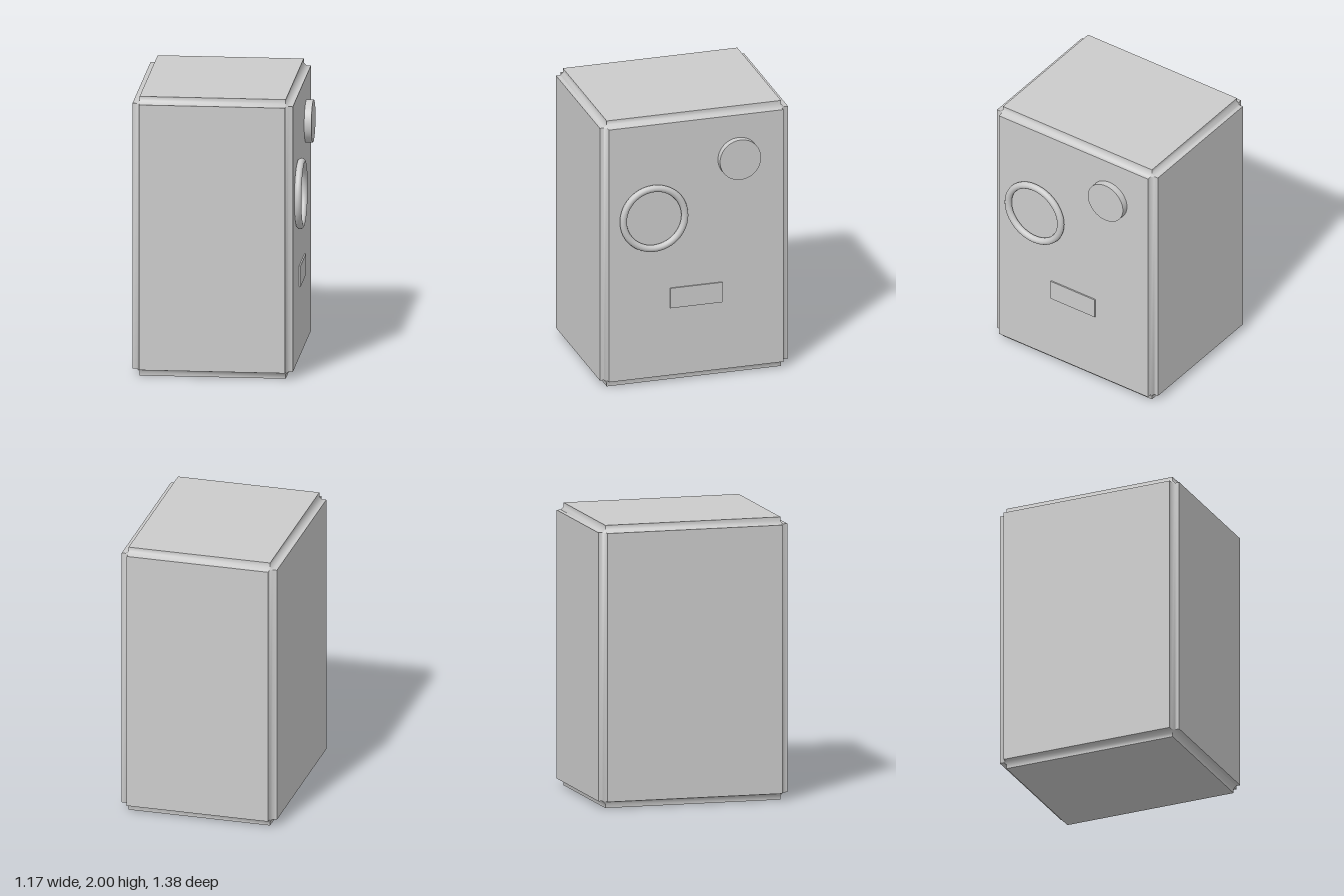
import * as THREE from 'three';
import { toCreasedNormals } from 'three/addons/utils/BufferGeometryUtils.js';

// Cabinet box whose twelve edges are cut by a coved notch.
function notchedBox(half, notch, cove) {
  const positions = [];
  const inner = half.map((h) => h - notch);

  // Adds a convex face, ordering its corners so that it faces along `out`.
  function face(points, out) {
    const [a, b, c] = points.map((p) => new THREE.Vector3(...p));
    const normal = b.clone().sub(a).cross(c.clone().sub(a));
    const ring = normal.dot(new THREE.Vector3(...out)) < 0 ? [...points].reverse() : points;
    for (let i = 1; i < ring.length - 1; i++) positions.push(...ring[0], ...ring[i], ...ring[i + 1]);
  }
  // Point or direction from values given on axes a, b and c.
  function on(a, va, b, vb, c, vc) {
    const p = [0, 0, 0];
    p[a] = va; p[b] = vb; p[c] = vc;
    return p;
  }

  for (let c = 0; c < 3; c++) {
    const a = (c + 1) % 3, b = (c + 2) % 3;
    // Flat panels across axis c
    for (const s of [-1, 1]) {
      face([[-1, -1], [1, -1], [1, 1], [-1, 1]].map(([u, v]) =>
        on(a, u * inner[a], b, v * inner[b], c, s * half[c])), on(a, 0, b, 0, c, s));
    }
    // Edge strips running along axis c: wall, cove, wall
    const profile = [
      [inner[a], half[b]], [inner[a], inner[b] + cove],
      [inner[a] + cove, inner[b]], [half[a], inner[b]],
    ];
    for (const sa of [-1, 1]) for (const sb of [-1, 1]) for (let i = 0; i < 3; i++) {
      const [p, q] = [profile[i], profile[i + 1]];
      face([[p, -1], [q, -1], [q, 1], [p, 1]].map(([[u, v], e]) =>
        on(a, sa * u, b, sb * v, c, e * inner[c])), on(a, sa, b, sb, c, 0));
    }
  }
  // Small triangle closing each corner
  for (const sx of [-1, 1]) for (const sy of [-1, 1]) for (const sz of [-1, 1]) {
    const s = [sx, sy, sz];
    face([0, 1, 2].map((k) => inner.map((v, i) => s[i] * (v + (i === k ? cove : 0)))), s);
  }

  const geometry = new THREE.BufferGeometry();
  geometry.setAttribute('position', new THREE.Float32BufferAttribute(positions, 3));
  return toCreasedNormals(geometry, Math.PI / 3);
}

export function createModel() {
  const group = new THREE.Group();
  const grey = new THREE.MeshStandardMaterial({ color: 0xcccccc });
  const sideX = 0.535; // outer face of the side that carries the fittings

  function add(name, geometry, x, y, z) {
    const mesh = new THREE.Mesh(geometry, grey);
    mesh.name = name;
    mesh.position.set(x, y, z);
    group.add(mesh);
    return mesh;
  }

  // Body
  add('cabinet', notchedBox([0.5625, 1, 0.688], 0.05, 0.02), -0.0275, 1, 0);

  // Fittings on the side
  const knob = new THREE.CylinderGeometry(0.15, 0.15, 0.05, 48).rotateZ(-Math.PI / 2);
  add('knob', knob, sideX + 0.025, 1.63, -0.31);

  const ring = new THREE.TorusGeometry(0.225, 0.025, 12, 48).rotateY(Math.PI / 2);
  add('ring', ring, sideX + 0.025, 1.255, 0.315);

  add('plate', new THREE.BoxGeometry(0.01, 0.15, 0.38), sideX + 0.005, 0.632, 0);

  return group;
}
